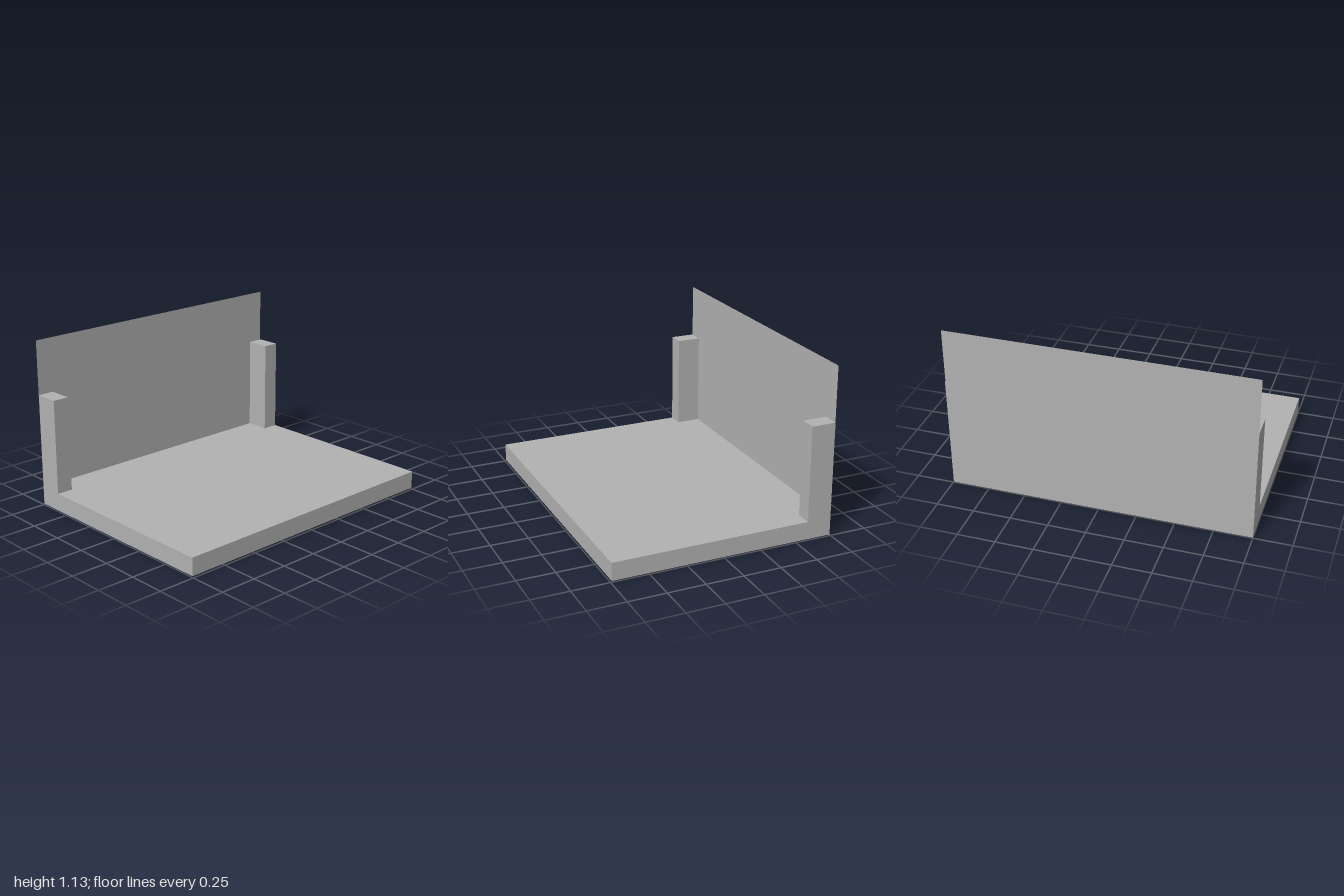
import * as THREE from 'three';

export function createModel() {
  const model = new THREE.Group();
  const grey = new THREE.MeshStandardMaterial({ color: 0xb2b2b2, side: THREE.DoubleSide });
  grey.name = 'plain grey';

  // Box given by its minimum and maximum corners
  function addBox(name, min, max) {
    const size = max.map((v, i) => v - min[i]);
    const mesh = new THREE.Mesh(new THREE.BoxGeometry(...size), grey);
    mesh.position.set(...max.map((v, i) => (v + min[i]) / 2));
    mesh.name = name;
    model.add(mesh);
  }

  // Floor slab
  addBox('floorSlab', [-0.743, 0.008, -1], [0.743, 0.127, 1]);

  // Corner posts, one at each end of the panel
  addBox('frontPost', [-0.743, 0.127, 0.89], [-0.58, 0.765, 1]);
  addBox('backPost', [-0.743, 0.127, -1], [-0.58, 0.765, -0.89]);

  // Sheet-thin upright panel along the right side
  const panel = new THREE.Mesh(new THREE.PlaneGeometry(1.995, 1.13), grey);
  panel.name = 'sidePanel';
  panel.rotation.y = -Math.PI / 2;
  panel.position.set(-0.745, 0.565, 0.0025);
  model.add(panel);

  return model;
}
